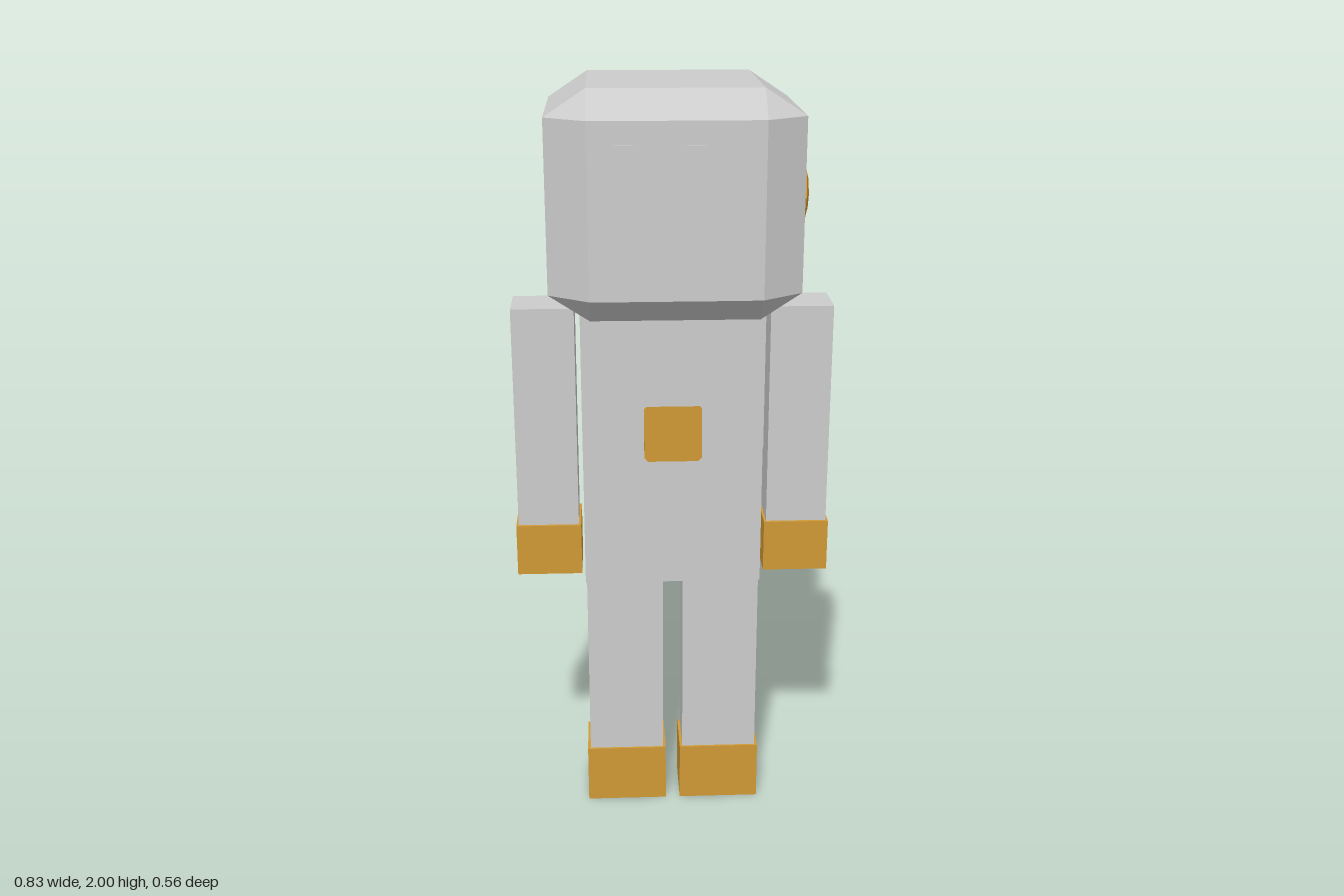
import * as THREE from 'three';
import { ConvexGeometry } from 'three/addons/geometries/ConvexGeometry.js';

export function createModel() {
  const model = new THREE.Group();
  model.name = 'blockFigure';
  const grey = new THREE.MeshStandardMaterial({ color: 0xcccccc });
  grey.name = 'light grey';
  const gold = new THREE.MeshStandardMaterial({ color: 0xd09a36 });
  gold.name = 'gold';

  const add = (name, geometry, material) => {
    const mesh = new THREE.Mesh(geometry, material);
    mesh.name = name;
    model.add(mesh);
    return mesh;
  };
  // Box given by its two extremes on each axis
  const box = (name, material, x0, x1, y0, y1, z0, z1) =>
    add(name, new THREE.BoxGeometry(x1 - x0, y1 - y0, z1 - z0), material)
      .position.set((x0 + x1) / 2, (y0 + y1) / 2, (z0 + z1) / 2);
  const shape = (points) => new THREE.Shape(points.map(([x, y]) => new THREE.Vector2(x, y)));
  const extrude = (points, depth) =>
    new THREE.ExtrudeGeometry(shape(points), { depth, bevelEnabled: false });

  // Head: box with chamfered edges and corners
  const corners = [];
  for (const sx of [-1, 1]) for (const sy of [-1, 1]) for (const sz of [-1, 1]) {
    for (const [x, y, z] of [[0.308, 0.21, 0.208], [0.208, 0.275, 0.208], [0.208, 0.21, 0.278]]) {
      corners.push(new THREE.Vector3(sx * x, 1.725 + sy * y, sz * z));
    }
  }
  add('head', new ConvexGeometry(corners), grey);
  box('facePlate', grey, -0.18, 0.18, 1.515, 1.88, 0.275, 0.28);

  // Ear piece on the left side: octagon running up into a swept-back blade
  const ear = add('earPiece', extrude([
    [-0.08, 1.72], [-0.055, 1.667], [0, 1.645], [0.057, 1.667], [0.078, 1.72],
    [0.064, 1.78], [0.078, 1.872], [0.045, 1.885], [0, 1.802], [-0.057, 1.78],
  ], 0.024), gold);
  ear.rotation.y = Math.PI / 2;
  ear.position.x = 0.306;
  const boss = add('earBoss', new THREE.CylinderGeometry(0.05, 0.076, 0.008, 8).toNonIndexed(), gold);
  boss.geometry.computeVertexNormals();
  boss.rotation.z = -Math.PI / 2;
  boss.position.set(0.334, 1.724, 0);

  // Torso, chest panel with an arched lower edge, and buckle
  box('torso', grey, -0.235, 0.235, 0.688, 1.452, -0.076, 0.08);
  add('chestPanel', extrude([
    [-0.235, 1.07], [-0.075, 1.19], [0.075, 1.19], [0.235, 1.07], [0.235, 1.452], [-0.235, 1.452],
  ], 0.012), grey).position.z = 0.08;
  add('buckle', extrude([
    [-0.065, 1.037], [0.065, 1.037], [0.075, 1.047], [0.075, 1.18],
    [0.065, 1.19], [-0.065, 1.19], [-0.075, 1.18], [-0.075, 1.047],
  ], 0.007), gold).position.z = 0.08;

  // Back pack between the two back panels, sloped at its top
  const pack = add('backPack', extrude([
    [0.075, 0.692], [0.165, 0.692], [0.165, 1.047], [0.075, 1.18],
  ], 0.16), grey);
  pack.rotation.y = Math.PI / 2;
  pack.position.x = -0.08;

  for (const [side, s] of [['left', 1], ['right', -1]]) {
    const pair = (name, material, x0, x1, ...rest) =>
      box(side + name, material, Math.min(s * x0, s * x1), Math.max(s * x0, s * x1), ...rest);
    // Limbs
    pair('Arm', grey, 0.25, 0.41, 0.75, 1.445, -0.07, 0.067);
    pair('Hand', gold, 0.244, 0.416, 0.715, 0.855, -0.077, 0.075);
    pair('Leg', grey, 0.027, 0.232, 0.1, 0.688, -0.067, 0.068);
    pair('Foot', gold, 0.02, 0.24, 0, 0.165, -0.074, 0.074);

    // Long back panel with a bevelled rear face
    const points = [];
    for (const [x0, x1, y0, y1, z] of [
      [0.08, 0.235, 0.655, 1.45, -0.085],
      [0.08, 0.235, 0.655, 1.45, -0.165],
      [0.105, 0.21, 0.76, 1.38, -0.187],
    ]) {
      for (const x of [x0, x1]) for (const y of [y0, y1]) points.push(new THREE.Vector3(s * x, y, z));
    }
    add(side + 'BackPanel', new ConvexGeometry(points), grey);
  }
  return model;
}
